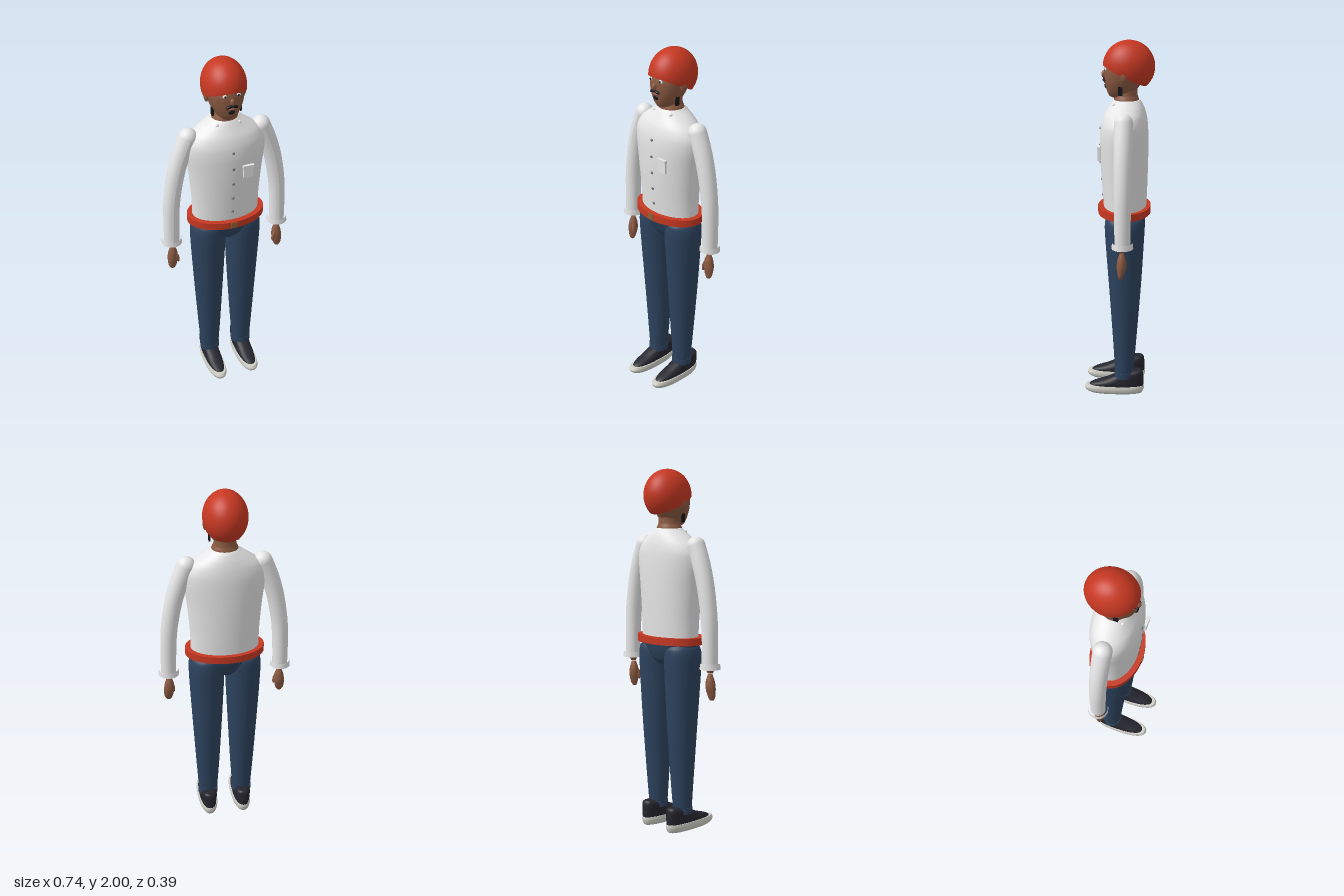
import * as THREE from 'three';

const mat = (name, color) => Object.assign(new THREE.MeshStandardMaterial({ color }), { name });

// Smooth skin through horizontal sections [y, rx, rz, cx, cz]; p squares the outline off
function loft(sections, p = 2, sides = 32, steps = sections.length * 4) {
  const size = new THREE.CatmullRomCurve3(sections.map(s => new THREE.Vector3(s[0], s[1], s[2])), false, 'catmullrom', 0.4);
  const mid = new THREE.CatmullRomCurve3(sections.map(s => new THREE.Vector3(s[3], s[4], 0)), false, 'catmullrom', 0.4);
  const pos = [], idx = [];
  const ring = t => {
    const s = size.getPoint(t), c = mid.getPoint(t);
    for (let j = 0; j < sides; j++) {
      const a = j / sides * Math.PI * 2, u = Math.cos(a), v = Math.sin(a);
      pos.push(c.x + s.y * Math.sign(u) * Math.abs(u) ** (2 / p), s.x, c.y + s.z * Math.sign(v) * Math.abs(v) ** (2 / p));
    }
    return [c.x, s.x, c.y];
  };
  for (let i = 0; i <= steps; i++) ring(i / steps);
  for (let i = 0; i < steps; i++) {
    for (let j = 0; j < sides; j++) {
      const a = i * sides + j, b = i * sides + (j + 1) % sides;
      idx.push(a, a + sides, b, b, a + sides, b + sides);
    }
  }
  // end caps with their own corners, so the rim stays sharp
  for (const t of [0, 1]) {
    const start = pos.length / 3;
    pos.push(...ring(t));
    for (let j = 0; j < sides; j++) {
      const a = start + j, b = start + (j + 1) % sides;
      idx.push(start + sides, t ? b : a, t ? a : b);
    }
  }
  const g = new THREE.BufferGeometry();
  g.setAttribute('position', new THREE.Float32BufferAttribute(pos, 3));
  g.setIndex(idx);
  g.computeVertexNormals();
  return g;
}

// Tube whose radius runs from r0 to r1
function taperedTube(curve, r0, r1, segs = 28, sides = 20) {
  const g = new THREE.TubeGeometry(curve, segs, r0, sides, false);
  const p = g.attributes.position, v = new THREE.Vector3();
  for (let i = 0; i < p.count; i++) {
    const t = Math.floor(i / (sides + 1)) / segs, c = curve.getPointAt(t);
    v.fromBufferAttribute(p, i).sub(c).multiplyScalar(1 + (r1 / r0 - 1) * t).add(c);
    p.setXYZ(i, v.x, v.y, v.z);
  }
  g.computeVertexNormals();
  return g;
}

export function createModel() {
  const root = new THREE.Group();
  root.name = 'standingMan';
  const skin = mat('skin', 0x8b5a42), shirt = mat('shirtWhite', 0xe6e6e6), denim = mat('denimBlue', 0x2d435e);
  const red = mat('red', 0xc63822), shoeDark = mat('shoeDark', 0x25252e), soleGrey = mat('soleGrey', 0xcfcfc6);
  const black = mat('hairBlack', 0x17171c), brass = mat('buckleBrown', 0x8a6238), grey = mat('buttonGrey', 0x74747c);
  const lip = mat('lip', 0x9c5a50);

  const add = (name, geo, material, x = 0, y = 0, z = 0, parent = root) => {
    const m = new THREE.Mesh(geo, material);
    m.name = name;
    m.position.set(x, y, z);
    parent.add(m);
    return m;
  };
  const ball = (name, material, x, y, z, rx, ry = rx, rz = rx, parent = root) => {
    const m = add(name, new THREE.SphereGeometry(1, 24, 16), material, x, y, z, parent);
    m.scale.set(rx, ry, rz);
    return m;
  };

  // Torso, hips, belt and neck
  add('shirtBody', loft([
    [1.08, 0.188, 0.117, 0, -0.036], [1.2, 0.191, 0.124, 0, -0.034], [1.36, 0.204, 0.131, 0, -0.031],
    [1.48, 0.219, 0.132, 0, -0.03], [1.55, 0.217, 0.127, 0, -0.032], [1.6, 0.187, 0.115, 0, -0.036],
    [1.64, 0.135, 0.097, 0, -0.042], [1.67, 0.09, 0.08, 0, -0.044], [1.682, 0.074, 0.07, 0, -0.044],
  ], 2, 48), shirt);
  add('hips', loft([
    [0.94, 0.07, 0.07, 0, -0.037], [0.97, 0.13, 0.095, 0, -0.037],
    [1.02, 0.175, 0.113, 0, -0.036], [1.07, 0.195, 0.122, 0, -0.035],
  ]), denim);
  const belt = add('belt', new THREE.CylinderGeometry(1, 1, 0.04, 48), red, 0, 1.075, -0.033);
  belt.scale.set(0.219, 1, 0.145);
  add('buckle', new THREE.BoxGeometry(0.035, 0.034, 0.012), brass, 0, 1.076, 0.109);
  add('neck', loft([
    [1.66, 0.078, 0.074, 0, -0.042], [1.69, 0.069, 0.066, 0, -0.042],
    [1.71, 0.06, 0.06, 0, -0.042], [1.76, 0.057, 0.058, 0, -0.042],
  ]), skin);

  // Shirt buttons and chest pocket
  [[1.525, 0.099], [1.43, 0.102], [1.335, 0.099], [1.24, 0.093], [1.15, 0.086]]
    .forEach(([y, z]) => ball('shirtButton', grey, 0, y, z, 0.008, 0.008, 0.006));
  add('pocket', new THREE.BoxGeometry(0.055, 0.07, 0.012), shirt, 0.082, 1.4, 0.101);
  add('pocketFlap', new THREE.BoxGeometry(0.061, 0.017, 0.016), shirt, 0.082, 1.432, 0.103);

  // Head and cap
  add('head', loft([
    [1.692, 0.016, 0.02, 0, 0.012], [1.703, 0.04, 0.05, 0, 0], [1.73, 0.066, 0.078, 0, -0.014],
    [1.78, 0.09, 0.1, 0, -0.025], [1.84, 0.101, 0.109, 0, -0.032], [1.9, 0.09, 0.095, 0, -0.04],
    [1.95, 0.05, 0.05, 0, -0.05],
  ]), skin);
  const cap = add('cap', new THREE.SphereGeometry(0.14, 48, 32, 0, Math.PI * 2, 0, 1.95), red, 0, 1.86, -0.055);
  cap.scale.x = 0.845;
  cap.rotation.x = -0.45;
  const lining = add('capLining', new THREE.CircleGeometry(0.13, 48), red, 0, 1.813, -0.032);
  lining.scale.x = 0.845;
  lining.rotation.x = Math.PI / 2 - 0.45;

  // Face
  ball('nose', skin, 0, 1.818, 0.079, 0.014, 0.02, 0.014);
  ball('goatee', black, 0, 1.757, 0.064, 0.019, 0.016, 0.012);
  ball('mouth', lip, 0, 1.775, 0.07, 0.017, 0.007, 0.009);

  for (const s of [1, -1]) {
    const side = new THREE.Group();
    side.name = s > 0 ? 'leftSide' : 'rightSide';
    root.add(side);
    const ballAt = (n, m, x, y, z, ...r) => ball(n, m, s * x, y, z, ...[r[0], r[1] ?? r[0], r[2] ?? r[0]], side);
    const addAt = (n, g, m, x, y, z) => add(n, g, m, s * x, y, z, side);

    // Face pairs
    ballAt('eye', shirt, 0.036, 1.849, 0.067, 0.013, 0.01, 0.006);
    ballAt('pupil', black, 0.036, 1.849, 0.072, 0.006, 0.007, 0.003);
    ballAt('moustache', black, 0.015, 1.791, 0.075, 0.02, 0.008, 0.01).rotation.z = -s * 0.3;
    ballAt('ear', skin, 0.102, 1.82, -0.035, 0.013, 0.036, 0.022);
    addAt('sideburn', new THREE.BoxGeometry(0.009, 0.088, 0.024), black, 0.077, 1.757, -0.012);
    ballAt('collarButton', shirt, 0.062, 1.663, 0.02, 0.009);

    // Arm
    const path = new THREE.CatmullRomCurve3([
      [0.205, 1.59], [0.242, 1.5], [0.275, 1.39], [0.304, 1.22], [0.312, 1.08], [0.314, 0.95],
    ].map(([x, y]) => new THREE.Vector3(s * x, y, -0.037)));
    add('sleeve', taperedTube(path, 0.051, 0.042), shirt, 0, 0, 0, side);
    ballAt('shoulder', shirt, 0.205, 1.59, -0.037, 0.051);
    addAt('sleeveCuff', new THREE.CylinderGeometry(0.055, 0.058, 0.032, 12, 1, true), shirt, 0.314, 0.955, -0.037);
    addAt('wrist', new THREE.CylinderGeometry(0.034, 0.014, 0.04, 16), skin, 0.314, 0.937, -0.035);

    // Hand
    add('hand', loft([
      [0.768, 0.012, 0.009, s * 0.317, -0.026], [0.79, 0.024, 0.016, s * 0.317, -0.028],
      [0.835, 0.029, 0.026, s * 0.314, -0.032], [0.875, 0.025, 0.023, s * 0.312, -0.033],
      [0.91, 0.013, 0.012, s * 0.312, -0.034],
    ], 2, 20), skin, 0, 0, 0, side);
    ballAt('thumb', skin, 0.29, 0.838, -0.018, 0.01, 0.032, 0.012).rotation.z = -s * 0.2;

    // Trouser leg
    add('trouserLeg', loft([
      [0.11, 0.053, 0.051, s * 0.1, -0.037], [0.3, 0.066, 0.064, s * 0.1, -0.039],
      [0.6, 0.083, 0.085, s * 0.101, -0.04], [0.85, 0.096, 0.101, s * 0.102, -0.038],
      [0.98, 0.1, 0.108, s * 0.102, -0.037], [1.03, 0.093, 0.104, s * 0.1, -0.037],
      [1.055, 0.075, 0.085, s * 0.098, -0.037],
    ]), denim, 0, 0, 0, side);
    add('trouserCuff', loft([
      [0.098, 0.058, 0.055, s * 0.1, -0.037], [0.132, 0.058, 0.055, s * 0.1, -0.037],
    ]), denim, 0, 0, 0, side);

    // Shoe
    add('shoeSole', loft([
      [0, 0.044, 0.15, s * 0.1, 0.01], [0.012, 0.053, 0.164, s * 0.1, 0.018],
      [0.03, 0.056, 0.171, s * 0.1, 0.02], [0.046, 0.053, 0.165, s * 0.1, 0.016],
    ], 2.4), soleGrey, 0, 0, 0, side);
    add('shoeUpper', loft([
      [0.04, 0.047, 0.159, s * 0.1, 0.011], [0.058, 0.048, 0.147, s * 0.1, -0.002],
      [0.08, 0.047, 0.113, s * 0.1, -0.035], [0.105, 0.046, 0.083, s * 0.1, -0.064],
      [0.128, 0.04, 0.051, s * 0.1, -0.092], [0.139, 0.024, 0.022, s * 0.1, -0.112],
    ], 2.4), shoeDark, 0, 0, 0, side);
  }
  return root;
}
